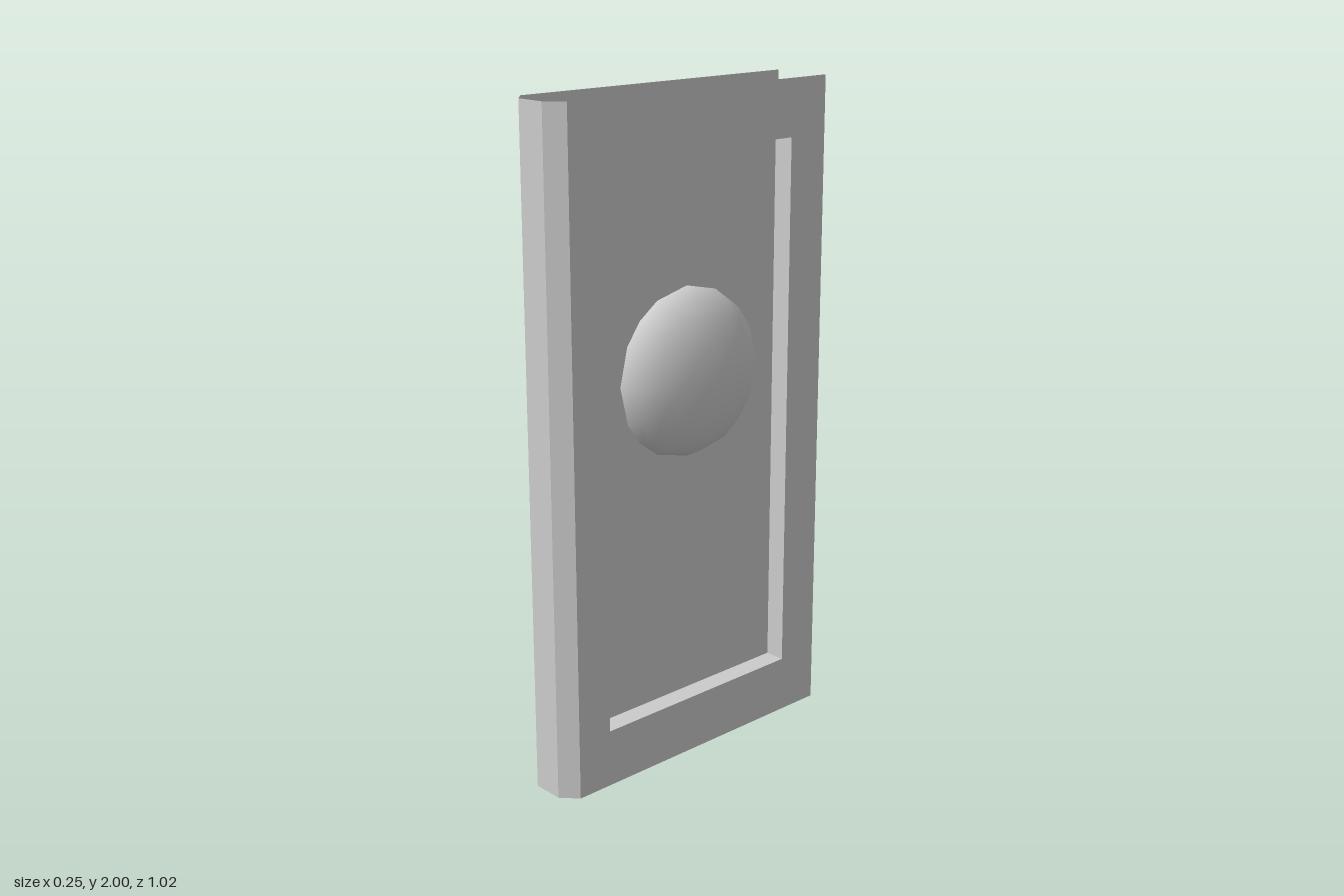
import * as THREE from 'three';

const HEIGHT = 2;
const LEFT_X = 0.064, RIGHT_X = -0.127, DEPTH = 0.064;
const SPINE_Z = 0.47, BACK_Z = -0.51;
const recess = { y0: 0.175, y1: 1.83, z0: -0.37, z1: 0.355 };

const material = new THREE.MeshStandardMaterial({ color: 0xcccccc, side: THREE.DoubleSide });

function addMesh(parent, name, geometry) {
  const mesh = new THREE.Mesh(geometry, material);
  mesh.name = name;
  parent.add(mesh);
  return mesh;
}

// Removes one side of a box (0: +x, 1: -x)
function openBox(geometry, side) {
  const { start, count } = geometry.groups[side];
  const index = Array.from(geometry.index.array);
  index.splice(start, count);
  geometry.setIndex(index);
  geometry.clearGroups();
  return geometry;
}

// Thin frame in the yz plane, with a rectangular opening
function frameGeometry() {
  const rect = (path, z0, z1, y0, y1) =>
    path.moveTo(-z1, y0).lineTo(-z0, y0).lineTo(-z0, y1).lineTo(-z1, y1).closePath();
  const shape = rect(new THREE.Shape(), BACK_Z, SPINE_Z, 0, HEIGHT);
  shape.holes.push(rect(new THREE.Path(), recess.z0, recess.z1, recess.y0, recess.y1));
  return new THREE.ShapeGeometry(shape).rotateY(Math.PI / 2);
}

// Cover: frame plus a tray sunk towards the middle
function makeCover(name, x, outward) {
  const cover = new THREE.Group();
  cover.name = name;
  cover.position.x = x;
  addMesh(cover, 'coverFrame', frameGeometry());
  const tray = new THREE.BoxGeometry(DEPTH, recess.y1 - recess.y0, recess.z1 - recess.z0);
  addMesh(cover, 'recessedPanel', openBox(tray, outward > 0 ? 0 : 1)).position.set(
    -outward * DEPTH / 2, (recess.y0 + recess.y1) / 2, (recess.z0 + recess.z1) / 2);
  return cover;
}

// Spine: three flat strips with bevelled sides
function spineGeometry() {
  const profile = [[RIGHT_X, SPINE_Z], [-0.08, 0.514], [0.016, 0.514], [LEFT_X, SPINE_Z]];
  const points = [];
  for (let i = 0; i < 3; i++) {
    const [ax, az] = profile[i], [bx, bz] = profile[i + 1];
    points.push(ax, 0, az, bx, 0, bz, bx, HEIGHT, bz, ax, 0, az, bx, HEIGHT, bz, ax, HEIGHT, az);
  }
  const geometry = new THREE.BufferGeometry();
  geometry.setAttribute('position', new THREE.Float32BufferAttribute(points, 3));
  geometry.computeVertexNormals();
  return geometry;
}

// Dome: open half cube rounded to a hemisphere, then flattened
function domeGeometry() {
  const geometry = openBox(new THREE.BoxGeometry(1, 2, 2, 2, 4, 4).translate(0.5, 0, 0), 1);
  const { position, normal } = geometry.attributes;
  const v = new THREE.Vector3();
  for (let i = 0; i < position.count; i++) {
    v.fromBufferAttribute(position, i).normalize();
    position.setXYZ(i, v.x, v.y, v.z);
    normal.setXYZ(i, v.x, v.y, v.z);
  }
  return geometry.scale(0.125, 0.256, 0.256);
}

export function createModel() {
  const model = new THREE.Group();
  model.name = 'panelledCase';
  model.add(makeCover('leftCover', LEFT_X, 1), makeCover('rightCover', RIGHT_X, -1));
  addMesh(model, 'spine', spineGeometry());
  addMesh(model, 'dome', domeGeometry()).position.set(0, 1.18, -0.012);
  return model;
}
